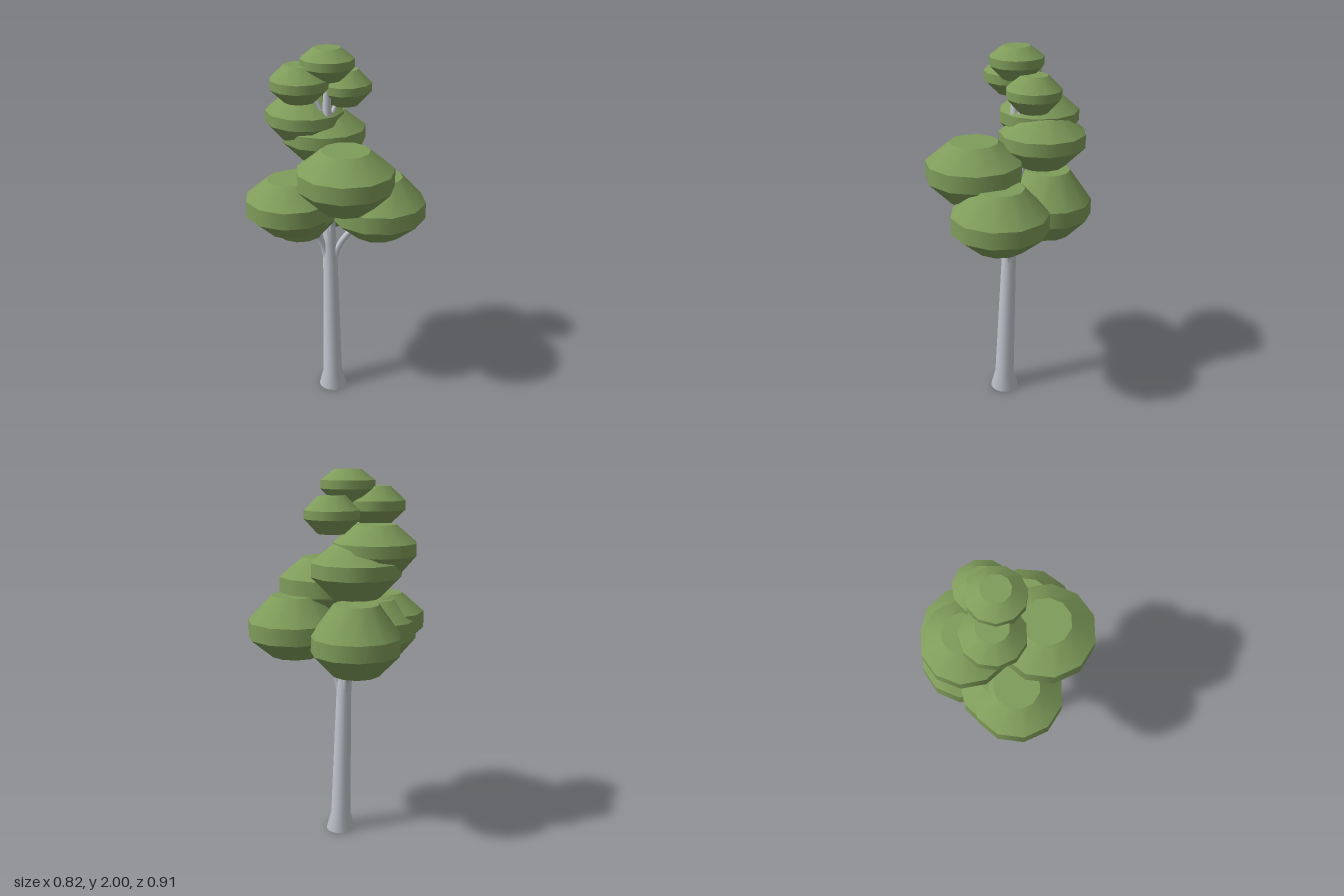
import * as THREE from 'three';
import { mergeGeometries } from 'three/addons/utils/BufferGeometryUtils.js';

const SIDES = 11;

// Leaf clump: flat bottom, flared underside, upright rim, sloped crown, flat top.
function clumpGeometry(radius, [y0, y1, y2, y3], turn) {
  const section = (rTop, rBottom, low, high) =>
    new THREE.CylinderGeometry(rTop, rBottom, high - low, SIDES, 1, true).translate(0, (low + high) / 2, 0);
  const cap = (r, y, up) =>
    new THREE.CircleGeometry(r, SIDES, up ? -Math.PI / 2 : Math.PI / 2)
      .rotateX(up ? -Math.PI / 2 : Math.PI / 2).translate(0, y, 0);
  return mergeGeometries([
    cap(radius * 0.53, y0, false),
    section(radius, radius * 0.53, y0, y1),
    section(radius, radius, y1, y2),
    section(radius * 0.5, radius, y2, y3),
    cap(radius * 0.5, y3, true),
  ]).rotateY(turn);
}

// Round leaning stem through stations [y, x, z, radius], open at both ends.
function stemGeometry(stations) {
  const n = stations.length - 1;
  const geometry = new THREE.CylinderGeometry(1, 1, 1, 16, n, true);
  const p = geometry.attributes.position;
  for (let i = 0; i < p.count; i++) {
    const [y, x, z, r] = stations[Math.round((p.getY(i) + 0.5) * n)];
    p.setXYZ(i, x + p.getX(i) * r, y, z + p.getZ(i) * r);
  }
  return geometry;
}

export function createModel() {
  const tree = new THREE.Group();
  tree.name = 'tree';
  const bark = new THREE.MeshStandardMaterial({ color: 0xc4c8d0, side: THREE.DoubleSide });
  bark.name = 'paleBark';
  const leaf = new THREE.MeshStandardMaterial({ color: 0x7f9c5a });
  leaf.name = 'leafGreen';

  const add = (name, geometry, material) => {
    const mesh = new THREE.Mesh(geometry, material);
    mesh.name = name;
    tree.add(mesh);
    return mesh;
  };

  // Trunk with a flared foot
  add('trunkFoot', stemGeometry([[0, 0.02, -0.01, 0.08], [0.095, 0.019, -0.011, 0.055]]), bark);
  add('trunk', stemGeometry([
    [0.095, 0.019, -0.011, 0.055],
    [0.8, 0.028, -0.035, 0.041],
    [1.3, 0.035, -0.06, 0.029],
    [1.68, 0.04, -0.067, 0.023],
    [1.92, 0.046, -0.07, 0.014],
  ]), bark);

  // Leaf clumps: name, x, z, radius, ring heights, turn, height where the branch leaves the trunk
  const clumps = [
    ['topClump', 0.046, -0.07, 0.14, [1.836, 1.904, 1.947, 2.0], 0, null],
    ['upperBackClump', -0.05, -0.175, 0.154, [1.728, 1.797, 1.845, 1.917], 0.15, 1.6],
    ['upperLeftClump', 0.167, -0.049, 0.142, [1.687, 1.76, 1.803, 1.873], 0, 1.55],
    ['middleBackClump', 0.072, -0.243, 0.213, [1.47, 1.585, 1.645, 1.735], -2.96, 1.35],
    ['middleLeftClump', 0.143, -0.172, 0.23, [1.37, 1.48, 1.55, 1.64], 0.2, 1.2],
    ['middleFrontClump', -0.069, 0.138, 0.254, [1.22, 1.342, 1.432, 1.535], 0.15, 0.95],
    ['lowerFrontClump', 0.14, 0.2, 0.254, [1.024, 1.125, 1.215, 1.35], -0.1, 0.8],
    ['lowerLeftClump', 0.172, -0.192, 0.235, [0.976, 1.092, 1.178, 1.342], 1.571, 0.8],
    ['lowerRightClump', -0.176, -0.146, 0.236, [1.06, 1.16, 1.25, 1.35], -1.571, 0.8],
    ['lowerBackClump', -0.082, -0.16, 0.222, [0.995, 1.12, 1.22, 1.33], 0.1, 0.8],
  ];
  for (const [name, x, z, radius, rings, turn, fork] of clumps) {
    add(name, clumpGeometry(radius, rings, turn), leaf).position.set(x, 0, z);
    if (fork === null) continue;

    // Branch curving from the trunk into the clump
    const tx = 0.019 + 0.014 * fork;
    const tz = -0.01 - 0.036 * fork;
    const end = rings[1];
    const curve = new THREE.QuadraticBezierCurve3(
      new THREE.Vector3(tx + (x - tx) * 0.08, fork, tz + (z - tz) * 0.08),
      new THREE.Vector3(tx + (x - tx) * 0.12, fork + (end - fork) * 0.6, tz + (z - tz) * 0.12),
      new THREE.Vector3(x, end, z));
    add(name.replace('Clump', 'Branch'), new THREE.TubeGeometry(curve, 8, fork < 1.3 ? 0.018 : 0.012, 8), bark);
  }
  return tree;
}
